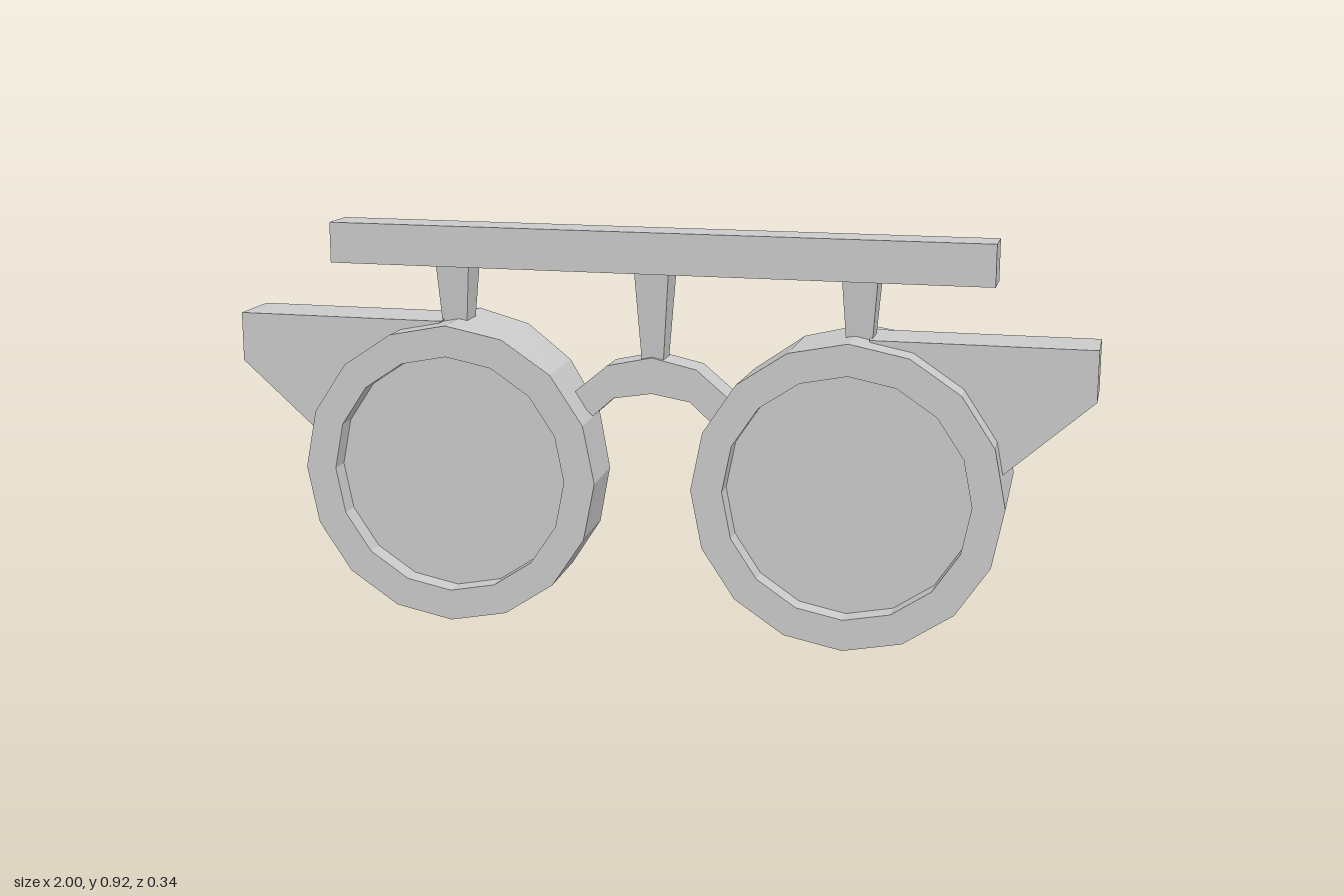
import * as THREE from 'three';

const material = new THREE.MeshStandardMaterial({ color: 0xcccccc, flatShading: true });
const SIDES = 16, EYE_X = 0.465, EYE_Y = 0.3535, OUTER_R = 0.3525, INNER_R = 0.28;

function add(parent, name, geometry, x = 0, y = 0, z = 0) {
  const mesh = new THREE.Mesh(geometry, material);
  mesh.name = name;
  mesh.position.set(x, y, z);
  parent.add(mesh);
}

const points = (list) => list.map(([x, y]) => new THREE.Vector2(x, y));

const polygon = (r) => Array.from({ length: SIDES }, (_, i) => {
  const a = (i / SIDES) * Math.PI * 2;
  return new THREE.Vector2(Math.cos(a) * r, Math.sin(a) * r);
});

const extrude = (shape, depth) => new THREE.ExtrudeGeometry(shape, { depth, bevelEnabled: false });

// Ring with a flat front and a back cut at a slant, deeper on the outer side
function rimGeometry(side) {
  const shape = new THREE.Shape(polygon(OUTER_R));
  shape.holes.push(new THREE.Path(polygon(INNER_R)));
  const geometry = extrude(shape, 1);
  const p = geometry.attributes.position;
  for (let i = 0; i < p.count; i++) {
    const x = p.getX(i);
    const onOutside = Math.hypot(x, p.getY(i)) > 0.3;
    if (p.getZ(i) > 0.5) p.setZ(i, 0.17);
    else {
      p.setZ(i, -0.082 - 0.25 * x * side);
      if (onOutside) p.setX(i, x * 0.98);
    }
  }
  geometry.computeVertexNormals();
  return geometry;
}

// Square post that narrows towards its foot
function postGeometry(height, topX, footX, topZ, footZ) {
  const geometry = new THREE.BoxGeometry(1, height, 1);
  const p = geometry.attributes.position;
  for (let i = 0; i < p.count; i++) {
    const top = p.getY(i) > 0;
    p.setX(i, p.getX(i) * (top ? topX : footX));
    p.setZ(i, p.getZ(i) * (top ? topZ : footZ));
  }
  geometry.computeVertexNormals();
  return geometry;
}

export function createModel() {
  const model = new THREE.Group();
  model.name = 'eyewear';

  for (const side of [1, -1]) {
    const eye = new THREE.Group();
    eye.name = side > 0 ? 'leftEyepiece' : 'rightEyepiece';
    model.add(eye);

    add(eye, 'rim', rimGeometry(side), side * EYE_X, EYE_Y, 0);

    // Flat pane set back inside the rim
    const lens = new THREE.CylinderGeometry(INNER_R, INNER_R, 0.015, SIDES).rotateX(Math.PI / 2);
    add(eye, 'lens', lens, side * EYE_X, EYE_Y, 0.1125);

    // Side wing whose inner edge cuts across the opening behind the lens
    const wing = new THREE.Shape(points([
      [side, 0.703], [side * 0.5, 0.703], [side * 0.75, 0.366], [side, 0.588],
    ]));
    add(eye, 'wing', extrude(wing, 0.14), 0, 0, -0.04);

    add(eye, 'sidePost', postGeometry(0.15, 0.08, 0.058, 0.082, 0.06), side * 0.475, 0.76, 0.041);
  }

  // Arched nose bridge
  const arch = new THREE.Shape(points([
    [-0.19, 0.542], [-0.105, 0.613], [0, 0.636], [0.105, 0.613], [0.19, 0.542],
    [0.14, 0.492], [0.09, 0.537], [0, 0.552], [-0.09, 0.537], [-0.14, 0.492],
  ]));
  add(model, 'bridge', extrude(arch, 0.08));

  // Brow bar and its middle support
  add(model, 'centrePost', postGeometry(0.215, 0.08, 0.05, 0.082, 0.055), 0, 0.7265, 0.041);
  add(model, 'browBar', new THREE.BoxGeometry(1.545, 0.095, 0.096), 0, 0.877, 0.042);

  return model;
}
